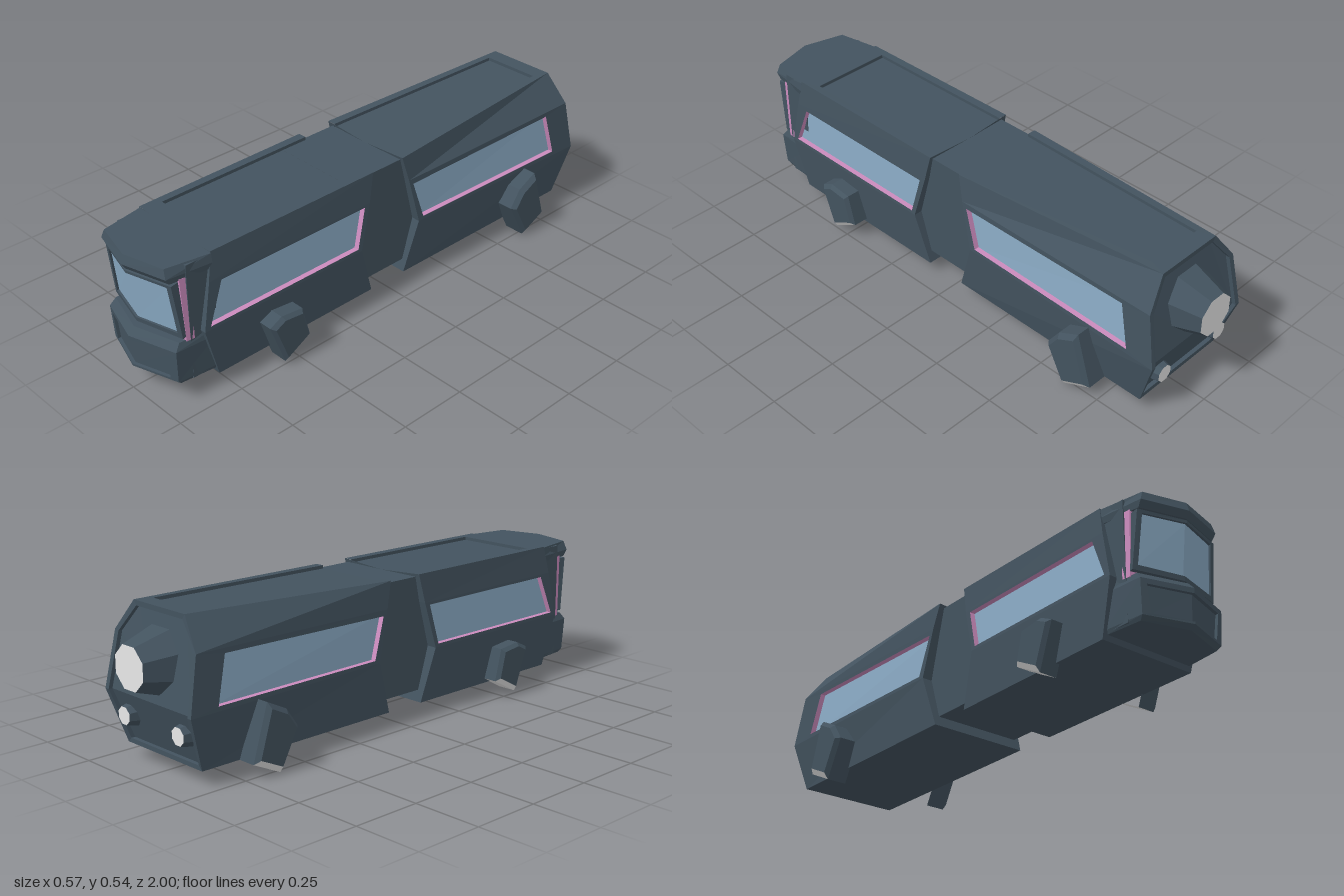
import * as THREE from 'three';

const paint = (name, color) => Object.assign(new THREE.MeshStandardMaterial({ color }), { name });

export function createModel() {
  const hull = paint('slate hull', 0x43535f);
  const glass = paint('blue glass', 0x8aaac4);
  const trim = paint('pink trim', 0xcb8bbd);
  const glow = paint('white exhaust', 0xebebeb);
  const model = new THREE.Group();

  // Flat-faced mesh from polygons on the +x half, mirrored to -x
  function part(parent, name, material, polys) {
    const pos = [];
    const fan = (p) => {
      for (let i = 1; i < p.length - 1; i++) pos.push(...p[0], ...p[i], ...p[i + 1]);
    };
    for (const p of polys) {
      fan(p);
      fan(p.map(([x, y, z]) => [-x, y, z]).reverse());
    }
    const g = new THREE.BufferGeometry();
    g.setAttribute('position', new THREE.Float32BufferAttribute(pos, 3));
    g.computeVertexNormals();
    const mesh = new THREE.Mesh(g, material);
    mesh.name = name;
    parent.add(mesh);
  }

  // Face with a sunken panel: border ring, reveal walls and floor
  function recess(outer, inner, push, skip = []) {
    const floor = inner.map((p) => p.map((v, k) => v + push[k]));
    const ring = [], reveal = [];
    outer.forEach((p, i) => {
      if (skip.includes(i)) return;
      const j = (i + 1) % outer.length;
      ring.push([p, outer[j], inner[j], inner[i]]);
      reveal.push([inner[i], inner[j], floor[j], floor[i]]);
    });
    return { ring, reveal, floor };
  }

  const mid = ([, y, z], dy = 0) => [0, y + dy, z];
  const lerp = THREE.MathUtils.lerp;

  // Carriage: F and R are the front and rear edges (bottom, waist, shoulder, roof)
  function carriage(name, F, R, win, roofInner, roofSkip, rear) {
    const g = new THREE.Group();
    g.name = name;
    g.position.x = -0.003;
    model.add(g);
    // window corners projected on the side wall
    const inner = win.map(([z, y]) => {
      const t = (y - F[1][1]) / (F[2][1] - F[1][1]);
      const zf = lerp(F[1][2], F[2][2], t), zr = lerp(R[1][2], R[2][2], t);
      return [lerp(lerp(F[1][0], F[2][0], t), lerp(R[1][0], R[2][0], t), (z - zf) / (zr - zf)), y, z];
    });
    const w = recess([F[1], R[1], R[2], F[2]], inner, [-0.02, 0, 0]);
    const roof = recess([mid(F[3]), F[3], R[3], mid(R[3])], roofInner, [0, -0.012, 0], roofSkip);
    const walls = [
      [F[0], R[0], R[1], F[1]], [F[2], R[2], R[3], F[3]],
      [mid(F[0]), mid(R[0]), R[0], F[0]],
      ...w.ring, ...roof.ring, ...roof.reveal, roof.floor,
    ];
    for (let i = 0; i < 3; i++) {
      const dip = i === 2 ? -0.012 : 0;
      walls.push([mid(F[i]), F[i], F[i + 1], mid(F[i + 1], dip)]);
      if (!rear) walls.push([mid(R[i + 1], dip), R[i + 1], R[i], mid(R[i])]);
    }
    if (rear) {
      // folded tail with a raised rim
      const inset = ([x, y, z], dx, dy) => [x - dx, y + dy, z];
      const up = recess([mid(R[1]), mid(R[3]), R[3], R[2], R[1]],
        [mid(R[1]), mid(R[3], -0.018), inset(R[3], 0.012, -0.018), inset(R[2], 0.018, -0.004), inset(R[1], 0.018, 0)],
        [0, 0, 0.015], [0, 4]);
      const low = recess([mid(R[0]), mid(R[1]), R[1], R[0]],
        [mid(R[0], 0.016), mid(R[1]), inset(R[1], 0.018, 0), inset(R[0], 0.016, 0.016)],
        [0, 0, 0.015], [0, 1]);
      walls.push([R[1], inset(R[1], 0.018, 0), inset(R[2], 0.018, -0.004)]);
      for (const r of [up, low]) walls.push(...r.ring, ...r.reveal, r.floor);
    }
    part(g, 'carriageShell', hull, walls);
    part(g, 'windowReveals', trim, w.reveal);
    part(g, 'sideWindows', glass, [w.floor]);
  }

  carriage('frontCarriage',
    [[0.192, 0.055, 0.79], [0.204, 0.25, 0.845], [0.194, 0.42, 0.81], [0.183, 0.522, 0.79]],
    [[0.192, 0.055, 0.105], [0.206, 0.25, 0.165], [0.196, 0.42, 0.118], [0.187, 0.525, 0.095]],
    [[0.82, 0.262], [0.18, 0.262], [0.142, 0.41], [0.762, 0.41]],
    [[0, 0.522, 0.72], [0.155, 0.522, 0.72], [0.155, 0.525, 0.095], [0, 0.525, 0.095]], [2, 3], false);
  carriage('rearCarriage',
    [[0.192, 0.055, -0.055], [0.206, 0.25, -0.115], [0.197, 0.43, -0.07], [0.187, 0.525, -0.045]],
    [[0.195, 0.055, -0.88], [0.226, 0.245, -0.94], [0.211, 0.44, -0.902], [0.132, 0.547, -0.88]],
    [[-0.137, 0.262], [-0.83, 0.262], [-0.79, 0.422], [-0.09, 0.41]],
    [[0, 0.525, -0.045], [0.155, 0.525, -0.045], [0.11, 0.546, -0.82], [0, 0.546, -0.82]], [0, 3], true);

  // Plain boxes: passage between carriages and cab core
  function box(name, w, y0, y1, z0, z1) {
    const m = new THREE.Mesh(new THREE.BoxGeometry(w, y1 - y0, z1 - z0), hull);
    m.name = name;
    m.position.set(0, (y0 + y1) / 2, (z0 + z1) / 2);
    model.add(m);
  }
  box('connector', 0.34, 0.095, 0.513, -0.14, 0.2);
  box('cabCore', 0.356, 0.08, 0.512, 0.78, 0.885);

  // Pointed nose slab: levels of [y, [x, z] side, [x, z] corner, z tip]; openBand leaves a front face free
  function slab(levels, openBand = -1) {
    const L = levels.map(([y, a, b, tip]) => [[a[0], y, a[1]], [b[0], y, b[1]], [0, y, tip]]);
    const polys = [];
    for (let i = 0; i < L.length - 1; i++) {
      for (let s = 0; s < 2; s++) {
        if (s === 1 && i === openBand) continue;
        polys.push([L[i][s + 1], L[i][s], L[i + 1][s], L[i + 1][s + 1]]);
      }
    }
    const lo = L[0], hi = L[L.length - 1];
    polys.push([hi[2], hi[1], hi[0], mid(hi[0])], [mid(lo[0]), lo[0], lo[1], lo[2]]);
    return polys;
  }

  part(model, 'cabVisor', hull, slab([
    [0.462, [0.182, 0.8], [0.165, 0.94], 0.985],
    [0.485, [0.188, 0.79], [0.168, 0.955], 1.0],
    [0.518, [0.184, 0.79], [0.155, 0.95], 0.99]]));
  part(model, 'cabTrim', trim, slab([
    [0.232, [0.179, 0.87], [0.176, 0.9], 0.945],
    [0.468, [0.174, 0.87], [0.171, 0.908], 0.95]]));

  // Windshield: framed, leaning forward at the top
  const shield = recess(
    [[0, 0.25, 0.962], [0.179, 0.25, 0.915], [0.171, 0.456, 0.94], [0, 0.456, 0.987]],
    [[0, 0.266, 0.964], [0.161, 0.268, 0.922], [0.153, 0.445, 0.943], [0, 0.446, 0.986]],
    [0, 0, -0.008], [3]);
  part(model, 'windshieldFrame', hull, [
    ...slab([[0.25, [0.17, 0.88], [0.179, 0.915], 0.962], [0.456, [0.164, 0.895], [0.171, 0.94], 0.987]], 0),
    ...shield.ring, ...shield.reveal]);
  part(model, 'windshield', glass, [shield.floor]);

  // Bumper with a sunken trapezoid panel
  const panel = recess(
    [[0, 0.088, 0.994], [0.172, 0.088, 0.94], [0.178, 0.21, 0.945], [0, 0.21, 0.999]],
    [[0, 0.096, 0.994], [0.142, 0.096, 0.95], [0.156, 0.192, 0.951], [0, 0.192, 0.998]],
    [0, 0, -0.012], [3]);
  part(model, 'bumper', hull, [
    ...slab([
      [0.074, [0.178, 0.79], [0.165, 0.925], 0.975],
      [0.088, [0.184, 0.79], [0.172, 0.94], 0.994],
      [0.21, [0.187, 0.79], [0.178, 0.945], 0.999],
      [0.236, [0.183, 0.79], [0.17, 0.925], 0.975]], 1),
    ...panel.ring, ...panel.reveal, panel.floor]);

  // Side thrusters: [z, y] outline swept outwards, chamfered, with a glowing lower end
  function thrusters(name, outline, x0, x1, x2) {
    const n = outline.length;
    const c = [0, 1].map((k) => outline.reduce((s, p) => s + p[k], 0) / n);
    const rings = [[x0, 1], [x1, 1], [x2, 0.82]].map(([x, s]) =>
      outline.map(([z, y]) => [x, lerp(c[1], y, s), lerp(c[0], z, s)]));
    const shell = [rings[2]], ends = [];
    for (let r = 0; r < 2; r++) {
      for (let i = 0; i < n; i++) {
        const j = (i + 1) % n;
        (i === 1 ? ends : shell).push([rings[r][i], rings[r][j], rings[r + 1][j], rings[r + 1][i]]);
      }
    }
    part(model, name, hull, shell);
    part(model, name + 'Exhausts', glow, ends);
  }
  thrusters('frontThrusters', [[0.62, 0.175], [0.56, 0.013], [0.45, 0.072], [0.48, 0.19], [0.57, 0.2]], 0.18, 0.248, 0.262);
  thrusters('rearThrusters', [[-0.545, 0.145], [-0.62, 0.003], [-0.73, 0.055], [-0.67, 0.25], [-0.59, 0.21]], 0.19, 0.266, 0.283);

  // Tail nozzles
  function nozzle(name, x, y, z0, z1, rBase, rEnd) {
    const g = new THREE.CylinderGeometry(rEnd, rBase, z0 - z1, 8)
      .rotateY(Math.PI / 8).rotateX(-Math.PI / 2).toNonIndexed();
    g.computeVertexNormals();
    const m = new THREE.Mesh(g, [hull, glow, hull]);
    m.name = name;
    m.position.set(x, y, (z0 + z1) / 2);
    model.add(m);
  }
  nozzle('mainNozzle', -0.003, 0.372, -0.87, -1, 0.12, 0.078);
  for (const s of [-1, 1]) nozzle('smallNozzle', s * 0.142 - 0.003, 0.168, -0.87, -0.93, 0.046, 0.032);

  return model;
}
